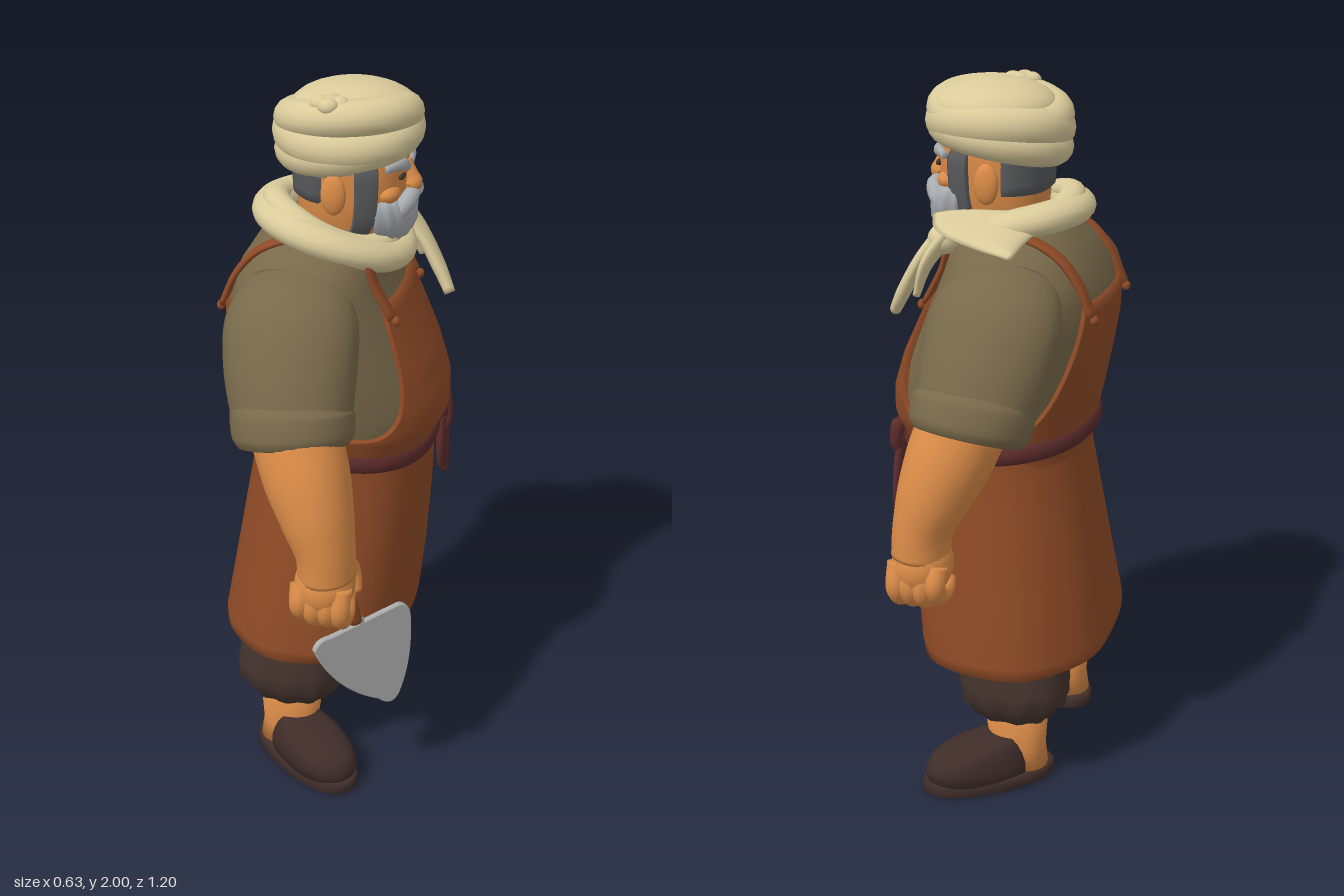
import * as THREE from 'three';
import { mergeVertices } from 'three/addons/utils/BufferGeometryUtils.js';

const mat = (name, color, side = THREE.FrontSide) => new THREE.MeshStandardMaterial({ name, color, side });
const M = {
  shirt: mat('olive shirt', 0x78694a), apron: mat('brown leather', 0x8d4a26, THREE.DoubleSide),
  belt: mat('maroon sash', 0x5c2b2b), skin: mat('skin', 0xdb8c48),
  cloth: mat('cream cloth', 0xdacb9b), trousers: mat('dark trousers', 0x44332d),
  shoe: mat('dark shoe', 0x3f2d29), metal: mat('steel', 0xacacac),
  beard: mat('light grey hair', 0xa8acb0), hair: mat('dark grey hair', 0x58595c),
};
const V = (x, y, z) => new THREE.Vector3(x, y, z);
const UP = V(0, 1, 0), FWD = V(0, 0, 1), SIDE = V(1, 0, 0);
const TAU = Math.PI * 2;

export function createModel() {
  const body = new THREE.Group();
  body.name = 'body';

  const add = (name, geo, material, pos, scale, parent = body) => {
    const m = new THREE.Mesh(geo, material);
    m.name = name;
    if (pos) m.position.set(...pos);
    if (scale) m.scale.set(...scale);
    parent.add(m);
    return m;
  };
  const ball = (name, material, pos, scale) => add(name, new THREE.SphereGeometry(1, 24, 16), material, pos, scale);

  // Smooth surface from f(i, j) over a grid
  const grid = (name, material, nu, nv, f, parent) => {
    const pos = [], idx = [];
    for (let j = 0; j <= nv; j++) for (let i = 0; i <= nu; i++) pos.push(...f(i, j).toArray());
    for (let j = 0; j < nv; j++) for (let i = 0; i < nu; i++) {
      const a = j * (nu + 1) + i, c = a + nu + 1;
      idx.push(a, a + 1, c + 1, a, c + 1, c);
    }
    let g = new THREE.BufferGeometry();
    g.setAttribute('position', new THREE.Float32BufferAttribute(pos, 3));
    g.setIndex(idx);
    g = mergeVertices(g, 1e-5);
    g.computeVertexNormals();
    return add(name, g, material, null, null, parent);
  };

  // Cross-section row: [y, centreX, halfWidth, zBack, zFront]
  const pow = (v) => Math.sign(v) * Math.abs(v) ** 0.87;
  const onRow = ([y, cx, w, zb, zf], t, off = 0) =>
    V(cx + (w + off) * pow(Math.sin(t)), y, (zb + zf) / 2 + ((zf - zb) / 2 + off) * pow(Math.cos(t)));
  const at = (rows, y, t, off) => {
    let k = 0;
    while (k < rows.length - 2 && rows[k + 1][0] < y) k++;
    const f = THREE.MathUtils.clamp((y - rows[k][0]) / (rows[k + 1][0] - rows[k][0]), 0, 1);
    return onRow(rows[k].map((v, n) => v + (rows[k + 1][n] - v) * f), t, off);
  };
  // Capped stack of rows, with optional ripple r(angle, rowIndex)
  const loft = (name, material, rows, ripple = () => 0, caps = true, parent = body) => {
    const cap = (r) => [r[0], r[1], 0, (r[3] + r[4]) / 2, (r[3] + r[4]) / 2];
    const all = caps ? [cap(rows[0]), ...rows, cap(rows[rows.length - 1])] : rows;
    return grid(name, material, 48, all.length - 1, (i, j) => {
      const t = (i % 48) / 48 * TAU;
      return onRow(all[j], t, all[j][2] ? ripple(t, j) : 0);
    }, parent);
  };
  // Sheet laid over a stack of rows
  const patch = (name, material, rows, t0, t1, y0, y1, off) => grid(name, material, 16, 8, (i, j) => {
    const e = i === 0 || i === 16 || j === 0 || j === 8 ? -0.01 : off;
    return at(rows, y0 + (y1 - y0) * j / 8, t0 + (t1 - t0) * i / 16, e);
  });
  // Sweep of points [x, y, z, radiusA, radiusB]; ref fixes the direction of the section
  const limb = (name, material, pts, ref = FWD, closed = false, nu = 16) => {
    const c = new THREE.CatmullRomCurve3(pts.map((p) => V(p[0], p[1], p[2])), closed);
    const r = new THREE.CatmullRomCurve3(pts.map((p) => V(p[3], p[4] ?? p[3], 0)), closed, 'catmullrom');
    const nv = closed ? 64 : pts.length * 5 + 2;
    return grid(name, material, nu, nv, (i, j) => {
      const v = closed ? (j % nv) / nv : THREE.MathUtils.clamp((j - 1) / (nv - 2), 0, 1);
      const p = c.getPoint(v), q = r.getPoint(v), t = c.getTangent(v);
      const a = ref.clone().cross(t).normalize(), b = t.clone().cross(a);
      const k = !closed && (j === 0 || j === nv) ? 0 : 1, w = (i % nu) / nu * TAU;
      return p.addScaledVector(a, k * q.x * Math.cos(w)).addScaledVector(b, k * q.y * Math.sin(w));
    });
  };
  const ring = (name, material, f, n = 16) =>
    limb(name, material, Array.from({ length: n }, (_, i) => f(i / n * TAU)), UP, true);

  // Shirt torso
  const torso = [
    [0.95, 0.02, 0.265, -0.215, 0.25], [1.0, 0.02, 0.268, -0.217, 0.26], [1.08, 0.02, 0.29, -0.235, 0.3],
    [1.15, 0.02, 0.305, -0.25, 0.297], [1.25, 0.02, 0.325, -0.268, 0.264], [1.35, 0.02, 0.345, -0.283, 0.216],
    [1.43, 0.02, 0.355, -0.283, 0.178], [1.5, 0.02, 0.335, -0.26, 0.15], [1.57, 0.02, 0.255, -0.215, 0.14],
    [1.62, 0.02, 0.18, -0.16, 0.125], [1.65, 0.02, 0.1, -0.12, 0.1],
  ];
  loft('shirt', M.shirt, torso);

  // Apron: bib front and back, cut low under the arms
  grid('apronBib', M.apron, 120, 20, (i, j) => {
    const t = (i % 120) / 120 * TAU, d = Math.min(t % Math.PI, Math.PI - t % Math.PI);
    const s = 1 - (1 - THREE.MathUtils.clamp((d - 0.48) / 0.8, 0, 1)) ** 3;
    const top = THREE.MathUtils.lerp(1.44, 1.09, s);
    return at(torso, 0.98 + (top - 0.98) * Math.min(j / 19, 1), t, j === 20 ? -0.004 : 0.014);
  });
  loft('apronSkirt', M.apron, [
    [0.46, 0.023, 0.352, -0.285, 0.2], [0.405, 0.023, 0.37, -0.31, 0.215], [0.395, 0.023, 0.382, -0.318, 0.228],
    [0.43, 0.023, 0.383, -0.32, 0.234], [0.6, 0.023, 0.352, -0.291, 0.252], [0.8, 0.023, 0.316, -0.257, 0.266],
    [0.95, 0.02, 0.287, -0.23, 0.272], [1.02, 0.02, 0.283, -0.228, 0.277],
  ], (t, j) => 0.005 * Math.sin(t * 7 + 1) * (1 - j / 8), false);
  for (const x of [-0.15, 0.19]) {
    limb('apronStrap', M.apron, [[1.41, 0.182], [1.5, 0.135], [1.57, 0.108], [1.615, 0.03], [1.615, -0.07],
      [1.57, -0.18], [1.5, -0.242], [1.41, -0.283]].map(([y, z]) => [x, y, z, 0.011, 0.026]), SIDE);
    for (const z of [0.195, -0.29]) ball('strapButton', M.apron, [x, 1.4, z], [0.014, 0.014, 0.012]);
  }

  // Sash with knot and two tails
  ring('sash', M.belt, (t) => {
    const z = 0.25 * Math.cos(t), p = at(torso, 1.018 - 0.11 * z, t, 0.014);
    return [p.x, p.y, p.z, 0.016, 0.028];
  }, 24);
  ball('sashKnot', M.belt, [0.14, 0.995, 0.272], [0.038, 0.04, 0.024]);
  limb('sashLoop', M.belt, [[0.14, 1.0, 0.275, 0.015], [0.17, 1.035, 0.28, 0.02], [0.165, 0.97, 0.288, 0.02], [0.14, 0.93, 0.285, 0.012]]);
  for (const [x0, x1, y1] of [[0.13, 0.115, 0.83], [0.15, 0.172, 0.785]])
    limb('sashTail', M.belt, [[x0, 0.99, 0.28, 0.02, 0.014], [x1, 0.89, 0.283, 0.027, 0.014], [x1 + 0.008, y1, 0.285, 0.023, 0.012]]);

  for (const s of [-1, 1]) {
    const m = (pts, c = 0) => pts.map(([x, ...r]) => [c + s * x, ...r]);
    // Arms
    limb('sleeve', M.shirt, m([[0.2, 1.49, -0.065, 0.09, 0.14], [0.29, 1.425, -0.06, 0.125, 0.178],
      [0.35, 1.32, -0.05, 0.137, 0.178], [0.41, 1.18, -0.03, 0.138, 0.158]], 0.02), FWD, false, 28);
    limb('sleeveCuff', M.shirt, m([[0.392, 1.24, -0.035, 0.134, 0.152], [0.401, 1.215, -0.033, 0.152, 0.165],
      [0.422, 1.16, -0.025, 0.152, 0.162], [0.43, 1.137, -0.022, 0.136, 0.148]], 0.02), FWD, false, 28);
    limb('forearm', M.skin, m([[0.42, 1.2, -0.02, 0.11, 0.12], [0.458, 1.07, 0.025, 0.12, 0.115],
      [0.487, 0.97, 0.06, 0.11, 0.098], [0.503, 0.88, 0.085, 0.094, 0.08], [0.507, 0.81, 0.09, 0.09, 0.078]]), FWD, false, 24);
    // Hands
    ball('palm', M.skin, [s * 0.508, 0.785, 0.085], [0.092, 0.09, 0.082]);
    for (let i = 0; i < 4; i++) {
      const z = 0.03 + i * 0.036, d = i === 0 ? 0.015 : 0;
      limb('finger', M.skin, m([[0.55, 0.8, z, 0.03], [0.568, 0.735 + d, z, 0.029], [0.535, 0.692 + d, z, 0.026],
        [0.48, 0.692 + d, z, 0.024], [0.455, 0.73, z, 0.018]]), FWD, false, 12);
    }
    limb('thumb', M.skin, m([[0.45, 0.83, 0.11, 0.035], [0.42, 0.775, 0.135, 0.028], [0.435, 0.72, 0.15, 0.02]]), FWD, false, 12);
    // Legs
    loft('trouserLeg', M.trousers, [[0.205, 0.22, 0.08, -0.18, 0.01], [0.215, 0.22, 0.1, -0.2, 0.035],
      [0.24, 0.222, 0.108, -0.21, 0.05], [0.265, 0.226, 0.124, -0.238, 0.07], [0.32, 0.226, 0.133, -0.243, 0.075],
      [0.42, 0.21, 0.133, -0.23, 0.085], [0.6, 0.15, 0.14, -0.21, 0.1], [0.85, 0.12, 0.12, -0.17, 0.12]]
      .map(([y, x, ...r]) => [y, s * x + 0.005, ...r]), (t, j) => (j < 5 ? 0.005 * Math.sin(t * 11) : 0));
    loft('ankle', M.skin, [[0.04, s * 0.225, 0.07, -0.18, 0], [0.1, s * 0.222, 0.068, -0.172, -0.01], [0.24, s * 0.22, 0.08, -0.18, 0.01]]);
    // Slippers, toes turned out
    const shoe = new THREE.Group();
    shoe.name = 'slipper';
    shoe.position.set(s * 0.238, 0, -0.09);
    shoe.rotation.y = s * 0.68;
    body.add(shoe);
    loft('sole', M.shoe, [[0, 0, 0.085, -0.107, 0.275], [0.008, 0, 0.093, -0.116, 0.285], [0.03, 0, 0.093, -0.116, 0.285],
      [0.04, 0, 0.086, -0.108, 0.278]], undefined, true, shoe);
    loft('slipperUpper', M.shoe, [[0.025, 0, 0.088, -0.05, 0.27], [0.07, 0, 0.091, -0.04, 0.273], [0.1, 0, 0.086, -0.025, 0.252],
      [0.125, 0, 0.076, -0.01, 0.2], [0.145, 0, 0.056, 0.01, 0.11]], undefined, true, shoe);
  }

  // Head, hair and ears
  const head = [[1.5, 0.01, 0.1, -0.1, 0.08], [1.6, 0.01, 0.105, -0.1, 0.12], [1.63, 0.01, 0.125, -0.102, 0.165],
    [1.7, 0.01, 0.137, -0.108, 0.185], [1.78, 0.01, 0.142, -0.112, 0.19], [1.86, 0.01, 0.14, -0.115, 0.185], [1.93, 0.01, 0.1, -0.08, 0.14]];
  loft('head', M.skin, head);
  patch('backHair', M.hair, head, 1.8, TAU - 1.8, 1.69, 1.85, 0.01);
  for (const s of [-1, 1]) {
    patch('sideburn', M.hair, head, s > 0 ? 0.95 : -1.4, s > 0 ? 1.4 : -0.95, 1.59, 1.83, 0.01);
    ball('ear', M.skin, [0.01 + s * 0.148, 1.735, 0.02], [0.02, 0.055, 0.034]);
    limb('eyebrow', M.beard, [[0.015 + s * 0.02, 1.782, 0.19, 0.012, 0.01], [0.015 + s * 0.06, 1.802, 0.183, 0.018, 0.013],
      [0.015 + s * 0.11, 1.798, 0.148, 0.011, 0.01]], FWD, false, 10);
    ball('eye', M.trousers, [0.015 + s * 0.052, 1.767, 0.181], [0.026, 0.009, 0.009]);
    ball('cheek', M.skin, [0.01 + s * 0.07, 1.725, 0.147], [0.045, 0.028, 0.035]);
    limb('moustache', M.beard, [[0.02, 1.708, 0.203, 0.02], [0.02 + s * 0.045, 1.7, 0.198, 0.024],
      [0.02 + s * 0.08, 1.675, 0.178, 0.022], [0.02 + s * 0.1, 1.645, 0.16, 0.008]], FWD, false, 12);
  }
  limb('nose', M.skin, [[0.015, 1.795, 0.178, 0.016], [0.015, 1.755, 0.195, 0.02], [0.015, 1.732, 0.2, 0.027], [0.015, 1.718, 0.19, 0.018]]);
  loft('beard', M.beard, [[1.575, 0.025, 0.05, 0.1, 0.17], [1.595, 0.025, 0.085, 0.08, 0.195], [1.625, 0.022, 0.115, 0.07, 0.208],
    [1.66, 0.02, 0.127, 0.07, 0.208], [1.69, 0.018, 0.13, 0.07, 0.198], [1.712, 0.018, 0.122, 0.08, 0.18]],
  (t) => 0.004 * Math.sin(t * 14));

  // Wrapped turban: overlapping tilted wraps, a crown and a tucked end
  [[1.84, 0.13, 0.145, 0.054, 0.05, 0.17, -0.012], [1.872, 0.138, 0.152, 0.052, 0.055, 0.02, -0.02], [1.908, 0.13, 0.145, 0.055, 0.05, 0.1, 0.022]]
    .forEach(([y, rx, rz, ra, rb, k, roll]) => ring('turbanWrap', M.cloth, (t) => [0.02 + rx * Math.sin(t),
      y + k * rz * Math.cos(t) - roll * Math.sin(t), 0.025 + rz * Math.cos(t), ra, rb]));
  ball('turbanCrown', M.cloth, [0.025, 1.92, 0.04], [0.165, 0.077, 0.175]);
  ball('turbanTuck', M.cloth, [-0.1, 1.955, 0.005], [0.045, 0.035, 0.048]);
  for (let i = 0; i < 4; i++)
    ball('turbanTuck', M.cloth, [-0.108 + 0.022 * Math.sin(i * 1.57), 1.968, 0.005 + 0.026 * Math.cos(i * 1.57)], [0.026, 0.022, 0.028]);

  // Neck scarf with knot, shoulder corner and hanging tails
  ring('scarf', M.cloth, (t) => [0.003 + 0.172 * Math.sin(t), 1.597 - 0.33 * 0.165 * Math.cos(t) + 0.02 * Math.sin(t) ** 2,
    -0.008 + 0.168 * Math.cos(t), 0.056, 0.043]);
  ring('scarfFold', M.cloth, (t) => [0.005 + 0.155 * Math.sin(t), 1.632 - 0.29 * 0.15 * Math.cos(t) + 0.012 * Math.sin(t * 2),
    -0.013 + 0.155 * Math.cos(t), 0.037, 0.03]);
  limb('scarfCorner', M.cloth, [[0.13, 1.64, 0, 0.18, 0.025], [0.2, 1.628, -0.01, 0.15, 0.024], [0.27, 1.608, -0.05, 0.075, 0.02],
    [0.345, 1.596, -0.105, 0.008, 0.008]], UP);
  ball('scarfKnot', M.cloth, [0.195, 1.59, 0.125], [0.05, 0.042, 0.045]);
  limb('scarfTail', M.cloth, [[0.19, 1.61, 0.13, 0.035, 0.02], [0.2, 1.52, 0.195, 0.046, 0.02], [0.18, 1.43, 0.25, 0.038, 0.02], [0.152, 1.365, 0.288, 0.02, 0.016]]);
  limb('scarfTail', M.cloth, [[0.2, 1.62, 0.1, 0.035, 0.02], [0.238, 1.53, 0.16, 0.038, 0.015], [0.245, 1.44, 0.19, 0.012, 0.01]]);

  // Trowel: blade stands in a diagonal upright plane
  const outline = new THREE.Shape();
  outline.moveTo(0, 0.575);
  outline.quadraticCurveTo(0.01, 0.605, 0.05, 0.6);
  outline.lineTo(0.27, 0.63);
  outline.quadraticCurveTo(0.305, 0.625, 0.308, 0.58);
  outline.quadraticCurveTo(0.32, 0.43, 0.275, 0.33);
  outline.quadraticCurveTo(0.25, 0.29, 0.21, 0.335);
  outline.quadraticCurveTo(0.06, 0.42, 0, 0.575);
  const blade = add('trowelBlade', new THREE.ExtrudeGeometry(outline, { depth: 0.012, bevelEnabled: true, bevelSize: 0.003, bevelThickness: 0.003, bevelSegments: 1 }),
    M.metal, [-0.525, 0, 0.055]);
  blade.rotation.y = -Math.PI / 4;
  limb('trowelNeck', M.metal, [[-0.435, 0.66, 0.145, 0.014], [-0.42, 0.61, 0.16, 0.016], [-0.4, 0.53, 0.185, 0.01]], FWD, false, 10);
  limb('trowelHandle', M.apron, [[-0.475, 0.82, 0.1, 0.022], [-0.455, 0.73, 0.125, 0.024], [-0.428, 0.62, 0.15, 0.021]], FWD, false, 14);

  // The figure looks along +x
  body.rotation.y = Math.PI / 2;
  const model = new THREE.Group();
  model.name = 'workman';
  model.add(body);
  return model;
}
